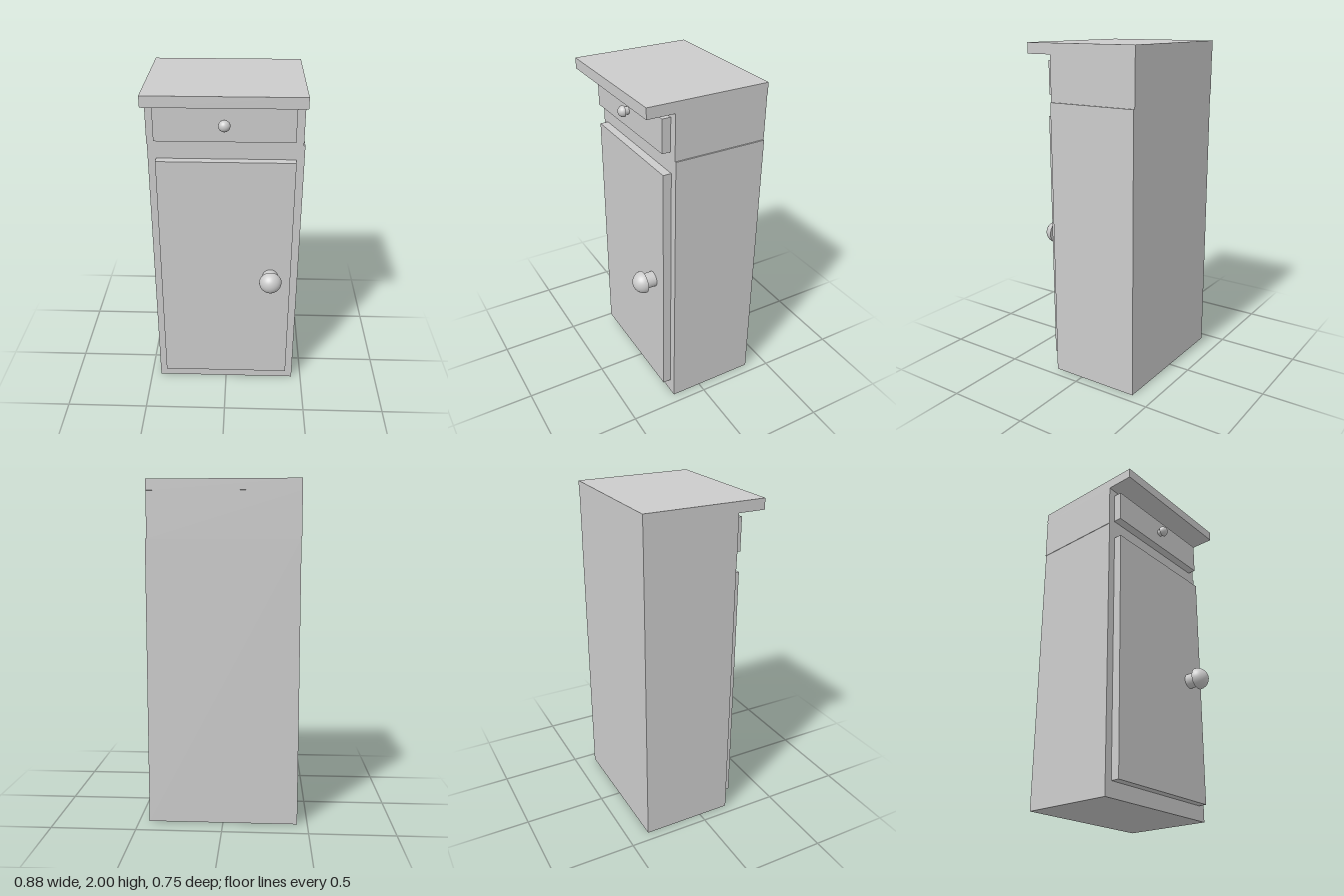
import * as THREE from 'three';

const material = new THREE.MeshStandardMaterial({ color: 0xcccccc });

// Box given by its lower and upper limits on each axis
function addBox(parent, name, [x0, x1], [y0, y1], [z0, z1]) {
  const mesh = new THREE.Mesh(new THREE.BoxGeometry(x1 - x0, y1 - y0, z1 - z0), material);
  mesh.name = name;
  mesh.position.set((x0 + x1) / 2, (y0 + y1) / 2, (z0 + z1) / 2);
  parent.add(mesh);
}

// Round stem with a half-ball head, pointing to +z
function addKnob(parent, name, x, y, z, radius, stemRadius, stemLength) {
  const knob = new THREE.Group();
  knob.name = name;
  const stem = new THREE.Mesh(new THREE.CylinderGeometry(stemRadius, stemRadius, stemLength, 32), material);
  stem.name = name + 'Stem';
  stem.position.y = stemLength / 2;
  const dome = new THREE.Mesh(new THREE.SphereGeometry(radius, 32, 16, 0, Math.PI * 2, 0, Math.PI / 2), material);
  dome.name = name + 'Head';
  dome.position.y = stemLength;
  const back = new THREE.Mesh(new THREE.CircleGeometry(radius, 32), material);
  back.name = name + 'HeadBack';
  back.rotation.x = Math.PI / 2;
  back.position.y = stemLength;
  knob.add(stem, dome, back);
  knob.rotation.x = Math.PI / 2;
  knob.position.set(x, y, z);
  parent.add(knob);
}

export function createModel() {
  const cabinet = new THREE.Group();
  cabinet.name = 'cabinet';

  // Carcass: lower cupboard, slightly narrower drawer case, overhanging top
  addBox(cabinet, 'cupboardBody', [-0.44, 0.44], [0, 1.672], [-0.37, 0.19]);
  addBox(cabinet, 'drawerCase', [-0.443, 0.432], [1.672, 1.937], [-0.372, 0.19]);
  addBox(cabinet, 'topBoard', [-0.443, 0.432], [1.937, 2], [-0.374, 0.353]);

  // Fronts
  addBox(cabinet, 'door', [-0.393, 0.393], [0.09, 1.587], [0.19, 0.24]);
  addBox(cabinet, 'drawerFront', [-0.397, 0.385], [1.708, 1.902], [0.19, 0.24]);

  // Knobs
  addKnob(cabinet, 'doorKnob', 0.27, 0.84, 0.24, 0.067, 0.046, 0.065);
  addKnob(cabinet, 'drawerKnob', -0.006, 1.81, 0.24, 0.033, 0.022, 0.026);

  return cabinet;
}
